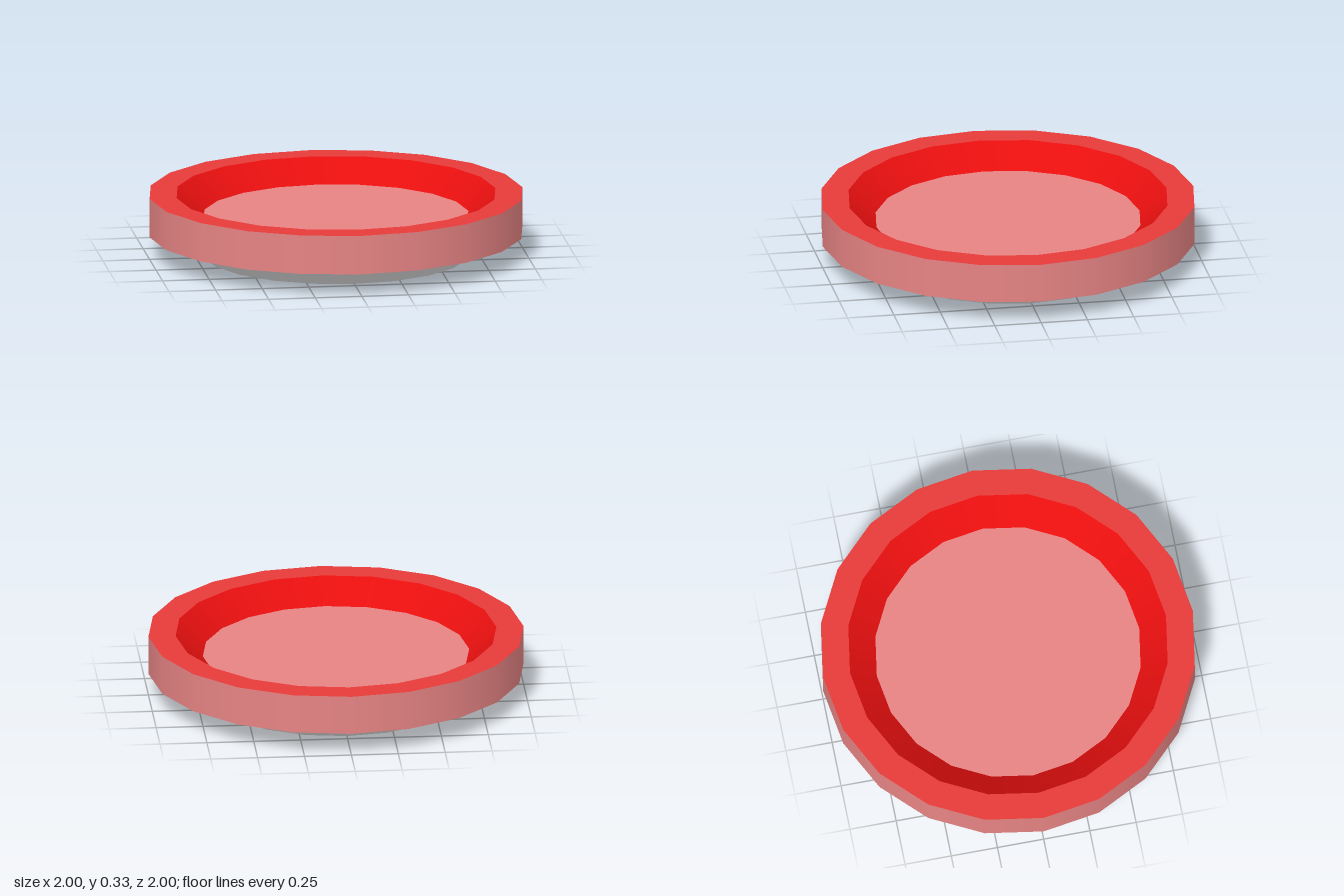
import * as THREE from 'three';

const SIDES = 20;

function material(name, color) {
  const m = new THREE.MeshStandardMaterial({ color });
  m.name = name;
  return m;
}

export function createModel() {
  const group = new THREE.Group();
  group.name = 'dish';

  const pink = material('pink', 0xe78484);
  const red = material('red', 0xe73a3a);
  const brightRed = material('bright red', 0xe70f0f);
  const grey = material('light grey', 0xe7e7e7);

  // Key radii and heights: foot, shoulder, outer edge
  const foot = 0.71, shoulder = 0.855, edge = 1;
  const low = 0.12, floorY = 0.21, top = 0.33;

  // Each band is [name, material, start radius, start y, end radius, end y],
  // running from the centre underneath, around the rim, to the centre of the floor
  const bands = [
    ['base', pink, 0, 0, foot, 0],
    ['undersideSlope', grey, foot, 0, shoulder, low],
    ['undersideRing', grey, shoulder, low, edge, low],
    ['outerWall', pink, edge, low, edge, top],
    ['rim', red, edge, top, shoulder, top],
    ['innerSlope', brightRed, shoulder, top, foot, floorY],
    ['floor', pink, foot, floorY, 0, floorY],
  ];

  // Separate bands keep the edges sharp while the shading runs smoothly around
  for (const [name, mat, r0, y0, r1, y1] of bands) {
    const profile = [new THREE.Vector2(r0, y0), new THREE.Vector2(r1, y1)];
    const mesh = new THREE.Mesh(new THREE.LatheGeometry(profile, SIDES), mat);
    mesh.name = name;
    group.add(mesh);
  }
  return group;
}
